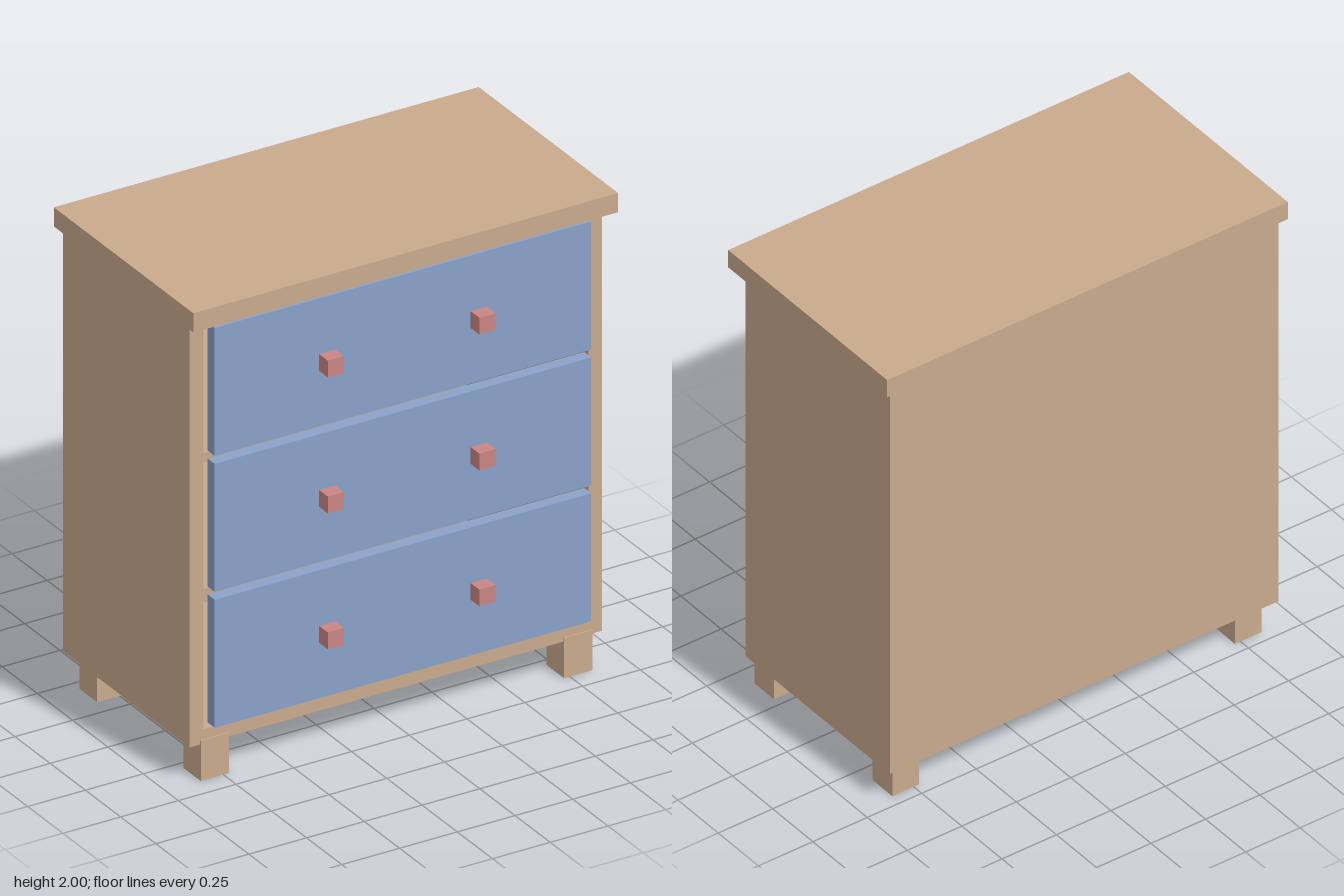
import * as THREE from 'three';

export function createModel() {
  const group = new THREE.Group();
  const wood = new THREE.MeshStandardMaterial({ color: 0xc9aa8c });
  wood.name = 'tan wood';
  const blue = new THREE.MeshStandardMaterial({ color: 0x8aa2c9 });
  blue.name = 'blue paint';
  const red = new THREE.MeshStandardMaterial({ color: 0xc98683 });
  red.name = 'red knob paint';

  // Box given by its lower and upper limits on each axis
  function box(name, material, [x0, x1], [y0, y1], [z0, z1]) {
    const mesh = new THREE.Mesh(new THREE.BoxGeometry(x1 - x0, y1 - y0, z1 - z0), material);
    mesh.position.set((x0 + x1) / 2, (y0 + y1) / 2, (z0 + z1) / 2);
    mesh.name = name;
    group.add(mesh);
  }

  const back = -0.495, front = 0.405, inner = 0.833, outer = 0.893;

  // Hollow cabinet
  box('topPanel', wood, [-0.92, 0.92], [1.92, 2], [-0.515, 0.475]);
  box('backPanel', wood, [-inner, inner], [0.15, 1.92], [back, back + 0.04]);
  box('bottomPanel', wood, [-inner, inner], [0.15, 0.21], [back + 0.04, front]);
  for (const y of [0.783, 1.35]) {
    box('shelf', wood, [-inner, inner], [y - 0.012, y + 0.012], [back + 0.04, front]);
  }

  for (const side of [-1, 1]) {
    const span = (a, b) => (side > 0 ? [a, b] : [-b, -a]);
    box('sidePanel', wood, span(inner, outer), [0.15, 1.92], [back, front]);
    box('frontLeg', wood, span(0.725, 0.848), [0, 0.168], [0.287, 0.41]);
    box('backLeg', wood, span(0.725, 0.848), [0, 0.168], [-0.45, -0.325]);
  }

  // Drawers, each with two square knobs
  for (let i = 0; i < 3; i++) {
    const y = 0.5 + i * 0.567;
    box('drawerFront', blue, [-0.815, 0.815], [y - 0.267, y + 0.267], [front, 0.455]);
    for (const x of [-0.328, 0.328]) {
      box('knob', red, [x - 0.035, x + 0.035], [y - 0.035, y + 0.035], [0.455, 0.517]);
    }
  }
  return group;
}
